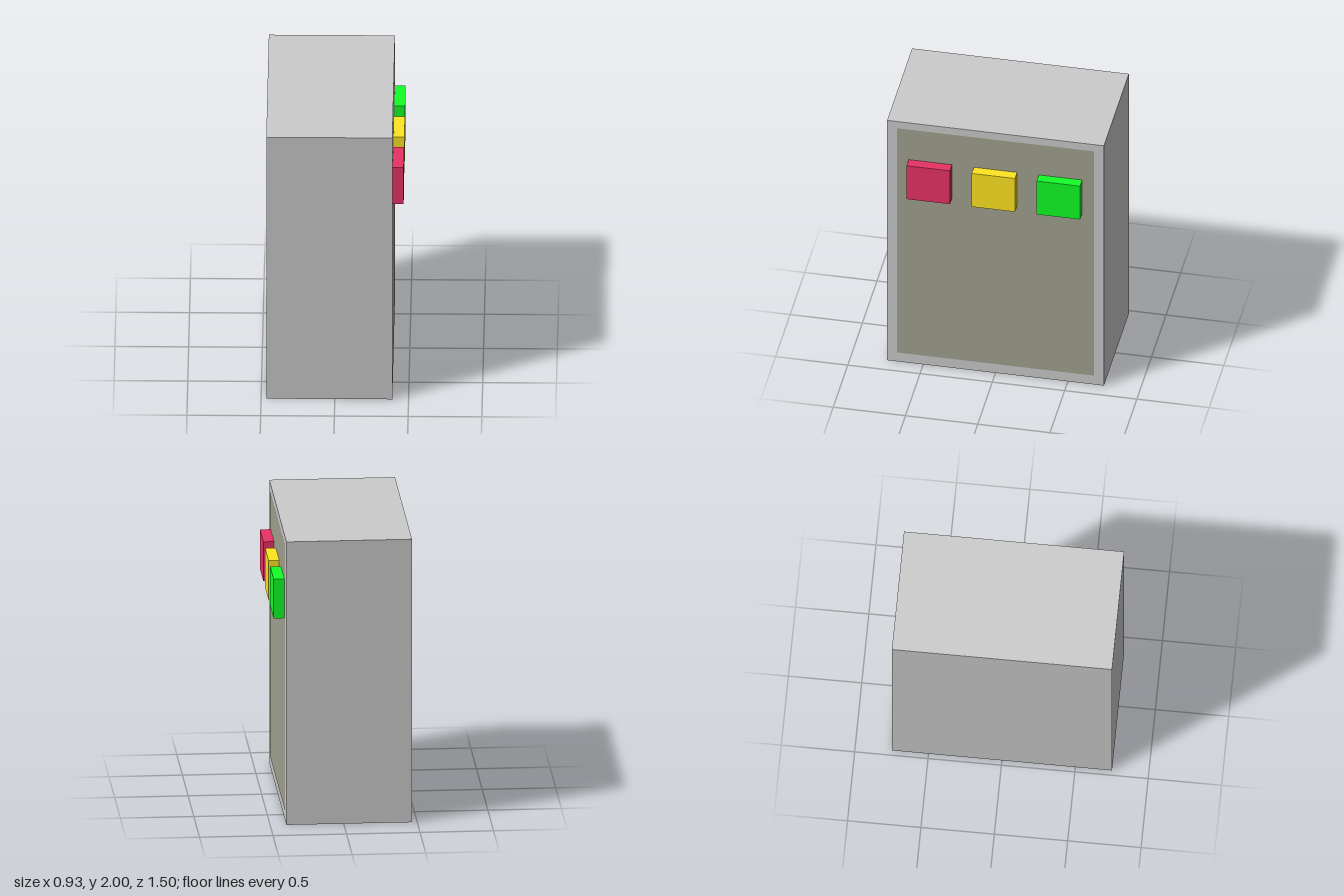
import * as THREE from 'three';

const FACE_X = 0.39; // plane of the control side

function box(name, color, [x0, x1], [y0, y1], [z0, z1]) {
  const mesh = new THREE.Mesh(
    new THREE.BoxGeometry(x1 - x0, y1 - y0, z1 - z0),
    new THREE.MeshStandardMaterial({ color })
  );
  mesh.position.set((x0 + x1) / 2, (y0 + y1) / 2, (z0 + z1) / 2);
  mesh.name = name;
  return mesh;
}

export function createModel() {
  const model = new THREE.Group();
  model.name = 'buttonCabinet';

  // Cabinet
  model.add(box('cabinet', 0xcccccc, [-0.465, FACE_X], [0, 2], [-0.75, 0.75]));

  // Thin inset-coloured panel on the control side
  const panel = new THREE.Mesh(
    new THREE.PlaneGeometry(1.36, 1.87),
    new THREE.MeshStandardMaterial({ color: 0xa2a290 })
  );
  panel.rotation.y = Math.PI / 2;
  panel.position.set(FACE_X + 0.002, 1.01, 0);
  panel.name = 'frontPanel';
  model.add(panel);

  // Row of three buttons
  const buttons = [['redButton', 0xe83366, 0.45], ['yellowButton', 0xffe621, 0], ['greenButton', 0x12ff26, -0.45]];
  for (const [name, color, z] of buttons) {
    model.add(box(name, color, [FACE_X, 0.465], [1.417, 1.695], [z - 0.15, z + 0.15]));
  }
  return model;
}
